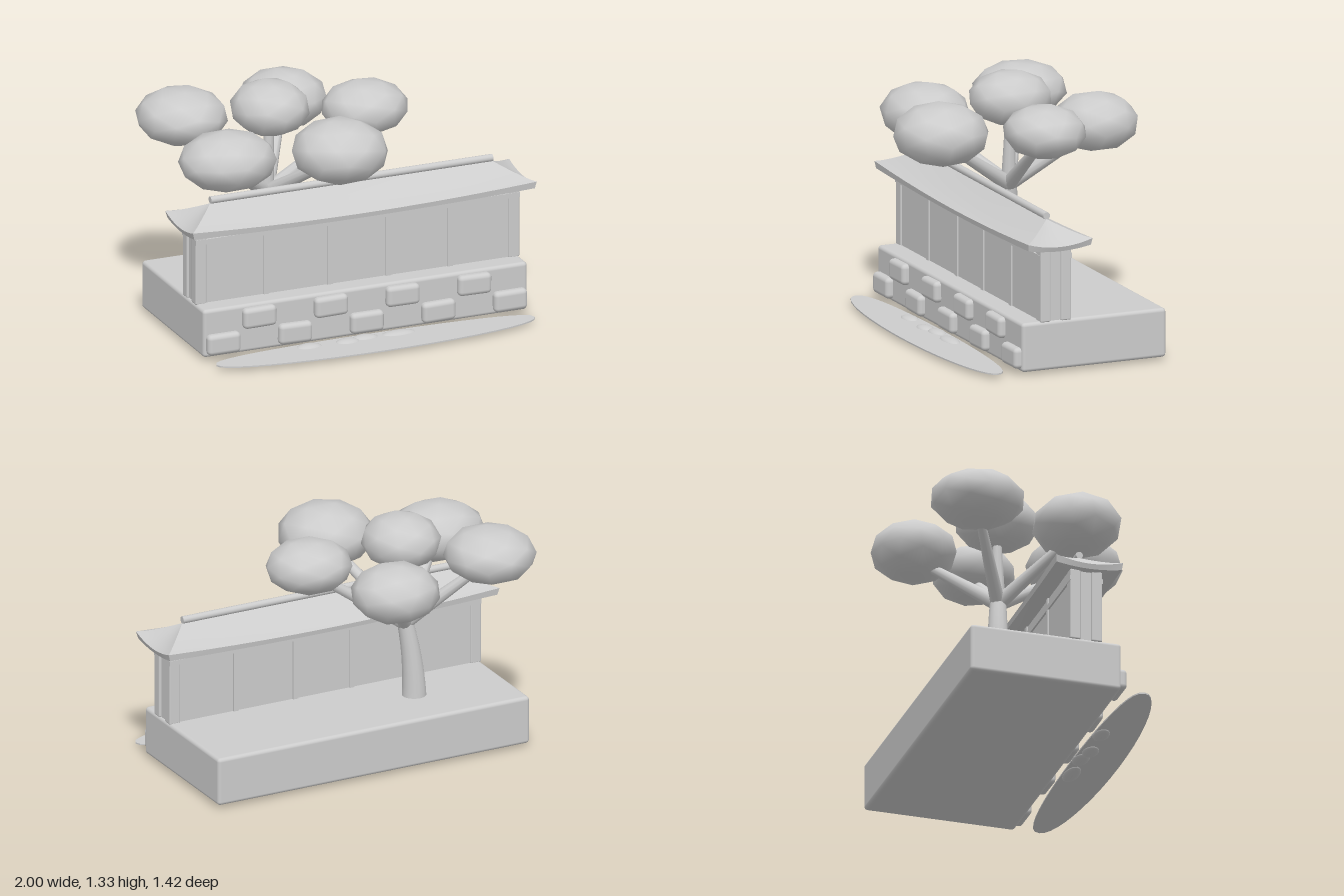
import * as THREE from 'three';
import { mergeVertices, toCreasedNormals } from 'three/addons/utils/BufferGeometryUtils.js';
import { RoundedBoxGeometry } from 'three/addons/geometries/RoundedBoxGeometry.js';

const clay = new THREE.MeshStandardMaterial({ color: 0xcccccc });
clay.name = 'plain grey';

function add(parent, name, geometry, x = 0, y = 0, z = 0) {
  const mesh = new THREE.Mesh(geometry, clay);
  mesh.name = name;
  mesh.position.set(x, y, z);
  parent.add(mesh);
  return mesh;
}

// Low-poly ball with smooth normals
function ball() {
  const g = new THREE.IcosahedronGeometry(1, 1);
  g.deleteAttribute('normal');
  g.deleteAttribute('uv');
  const merged = mergeVertices(g, 1e-3);
  merged.computeVertexNormals();
  return merged;
}

// Tapered limb between two points
function limb(parent, name, from, to, r0, r1) {
  const a = new THREE.Vector3(...from), b = new THREE.Vector3(...to);
  const dir = b.clone().sub(a);
  const mesh = add(parent, name, new THREE.CylinderGeometry(r1, r0, dir.length(), 10));
  mesh.position.copy(a).add(b).multiplyScalar(0.5);
  mesh.quaternion.setFromUnitVectors(new THREE.Vector3(0, 1, 0), dir.normalize());
}

// Hipped roof with sagging slopes and lifted corners, lofted in rings
function roofGeometry() {
  const seg = 10, slopes = 6;
  const rings = [{ X: 0.82, Z: 0.001, y: 0.7, lift: 0 }, { X: 0.99, Z: 0.183, y: 0.682, lift: 0.018 }];
  for (let i = 0; i <= slopes; i++) {
    const t = i / slopes;
    rings.push({
      X: 1 - 0.18 * t, Z: 0.187 * (1 - t) + 0.001,
      y: 0.708 + 0.112 * Math.pow(t, 1.2), lift: 0.03 * (1 - t),
    });
  }
  const point = ({ X, Z, y, lift }, j) => {
    const side = Math.floor(j / seg) % 4, s = -1 + 2 * (j % seg) / seg;
    const [x, z] = [[s * X, Z], [X, -s * Z], [-s * X, -Z], [-X, s * Z]][side];
    return [x, y + lift * s * s, z];
  };
  const pos = [];
  for (let i = 0; i < rings.length - 1; i++) {
    for (let j = 0; j < 4 * seg; j++) {
      const a = point(rings[i], j), b = point(rings[i], j + 1);
      const c = point(rings[i + 1], j + 1), d = point(rings[i + 1], j);
      pos.push(...a, ...b, ...c, ...a, ...c, ...d);
    }
  }
  const g = new THREE.BufferGeometry();
  g.setAttribute('position', new THREE.Float32BufferAttribute(pos, 3));
  return toCreasedNormals(g, 0.5);
}

function buildWall() {
  const wall = new THREE.Group();
  wall.name = 'wall';
  add(wall, 'wallPanel', new THREE.BoxGeometry(1.86, 0.42, 0.164), 0, 0.49, 0.22);
  // Corner posts
  for (const x of [-0.91, 0.91]) for (const z of [0.16, 0.28]) {
    add(wall, 'cornerPost', new RoundedBoxGeometry(0.065, 0.41, 0.06, 2, 0.008), x, 0.49, z);
  }
  for (const z of [0.135, 0.305]) {
    // Slim posts between panels
    for (const x of [-0.53, -0.16, 0.18, 0.54]) {
      add(wall, 'slimPost', new THREE.BoxGeometry(0.03, 0.41, 0.012), x, 0.49, z);
    }
    // Rails under the eaves
    add(wall, 'rail', new THREE.BoxGeometry(1.885, 0.028, 0.014), 0, 0.64, z);
  }
  add(wall, 'roof', roofGeometry(), 0, 0, 0.22);
  const ridge = add(wall, 'ridgeBar', new THREE.CylinderGeometry(0.02, 0.02, 1.64, 12), 0, 0.838, 0.22);
  ridge.rotation.z = Math.PI / 2;
  return wall;
}

function buildTree() {
  const tree = new THREE.Group();
  tree.name = 'tree';

  // Gently bent trunk: a cylinder with its rings shifted
  const trunk = new THREE.CylinderGeometry(0.044, 0.068, 0.46, 14, 6);
  const p = trunk.attributes.position;
  for (let i = 0; i < p.count; i++) {
    const t = p.getY(i) / 0.46 + 0.5;
    p.setX(i, p.getX(i) + 0.05 * t * t);
    p.setZ(i, p.getZ(i) + 0.018 * t * t);
  }
  trunk.computeVertexNormals();
  add(tree, 'trunk', trunk, -0.41, 0.5, -0.108);

  // Leaf clusters: centre, then half sizes
  const clusters = [
    [-0.75, 1.12, -0.33, 0.25, 0.15, 0.26],
    [-0.1, 1.075, -0.48, 0.245, 0.16, 0.235],
    [-0.34, 1.19, -0.09, 0.215, 0.15, 0.23],
    [0.195, 1.13, -0.05, 0.24, 0.145, 0.225],
    [-0.725, 1.055, 0.235, 0.272, 0.16, 0.24],
    [-0.145, 1.085, 0.405, 0.265, 0.172, 0.262],
  ];
  const fork = [-0.36, 0.71, -0.09];
  clusters.forEach(([x, y, z, rx, ry, rz], i) => {
    const g = ball();
    g.rotateY(i * 1.3);
    g.rotateX(0.2 + i * 0.7);
    g.scale(rx, ry, rz);
    add(tree, 'leafCluster', g, x, y, z);
    limb(tree, 'branch', fork, [x, y - 0.04, z], 0.042, 0.022);
  });
  return tree;
}

function buildPond() {
  const pond = new THREE.Group();
  pond.name = 'pond';
  // Rounded front edge, flatter edge along the stones
  const pts = [];
  for (let i = 0; i < 40; i++) {
    const a = i / 40 * Math.PI * 2, s = Math.sin(a);
    pts.push(new THREE.Vector2(0.925 * Math.cos(a), s < 0 ? 0.15 * s : 0.115 * Math.pow(s, 0.7)));
  }
  const water = new THREE.ExtrudeGeometry(new THREE.Shape(pts), { depth: 0.008, bevelEnabled: false });
  water.rotateX(-Math.PI / 2);
  add(pond, 'water', water, 0, 0.02, 0.555);
  // Flat pebbles in the water
  for (const [x, z, r] of [[-0.36, 0.49, 0.075], [-0.14, 0.5, 0.07], [-0.03, 0.48, 0.075], [0.16, 0.49, 0.1]]) {
    add(pond, 'pebble', new THREE.SphereGeometry(1, 14, 8), x, 0.022, z).scale.set(r, 0.02, 0.045);
  }
  return pond;
}

export function createModel() {
  const model = new THREE.Group();
  model.name = 'gardenWall';

  add(model, 'base', new RoundedBoxGeometry(1.885, 0.27, 0.845, 3, 0.02), 0, 0.155, -0.005);

  // Two staggered rows of facing stones
  const stones = [];
  for (let i = 0; i < 9; i++) stones.push([-0.832 + i * 0.2083, i % 2 ? 0.217 : 0.095]);
  stones.forEach(([x, y], i) => {
    const stone = add(model, 'facingStone', new RoundedBoxGeometry(0.192, 0.115, 0.06, 3, 0.025), x, y, 0.427);
    stone.rotation.z = 0.02 * Math.sin(i * 2.4);
  });

  model.add(buildWall(), buildTree(), buildPond());
  return model;
}
